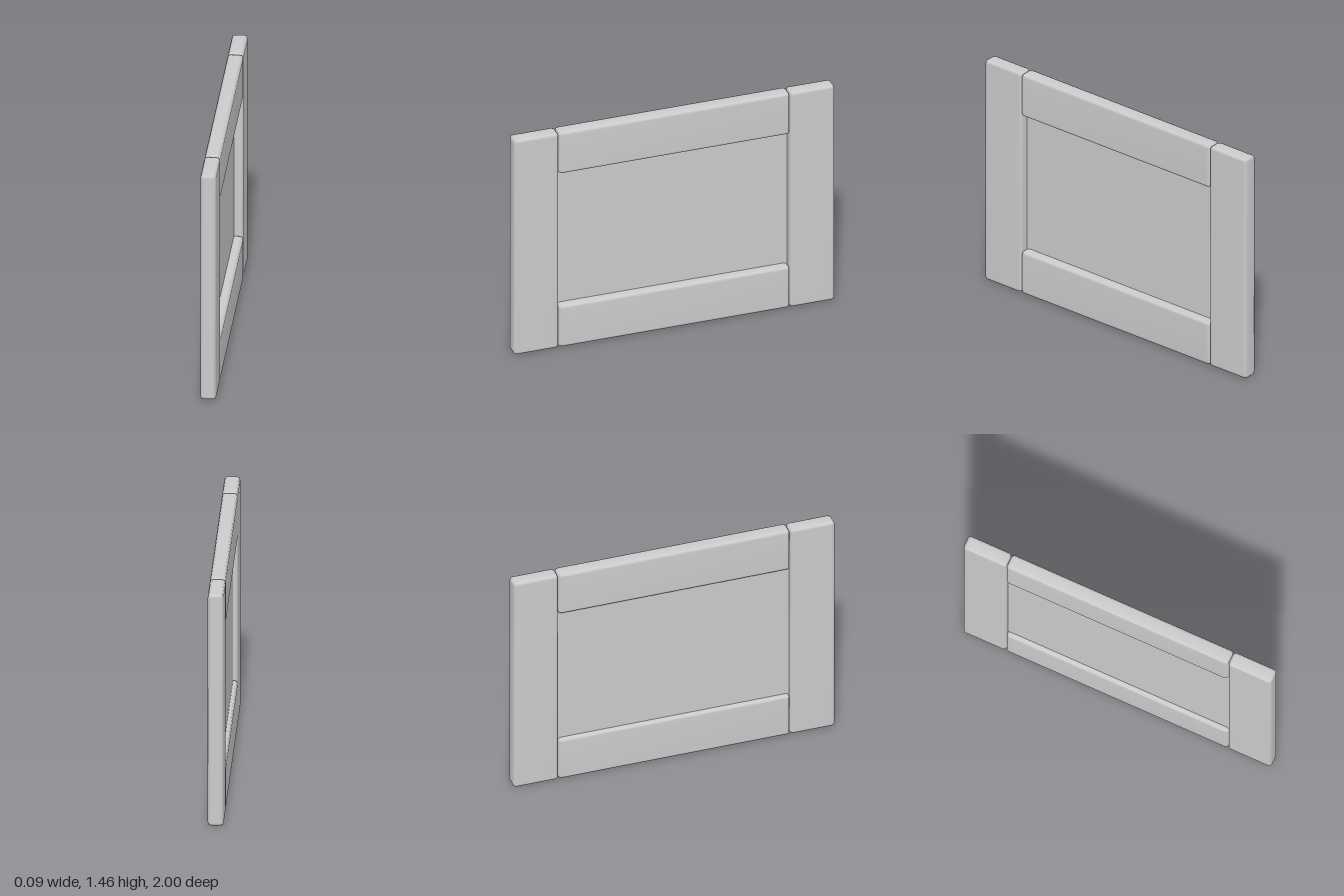
import * as THREE from 'three';
import { mergeVertices } from 'three/addons/utils/BufferGeometryUtils.js';
import { RoundedBoxGeometry } from 'three/addons/geometries/RoundedBoxGeometry.js';

const HEIGHT = 1.455, THICK = 0.094, BOARD = 0.28, HALF = 1, EDGE = 0.02;

export function createModel() {
  const group = new THREE.Group();
  const material = new THREE.MeshStandardMaterial({ color: 0xcccccc });

  // Board with eased edges; welded so its shading rolls softly over the faces
  function board(name, height, length, y, z) {
    let geo = new RoundedBoxGeometry(THICK, height, length, 1, EDGE);
    geo.deleteAttribute('normal');
    geo.deleteAttribute('uv');
    geo = mergeVertices(geo, 1e-4);
    geo.computeVertexNormals();
    const mesh = new THREE.Mesh(geo, material);
    mesh.name = name;
    mesh.position.set(0, y, z);
    group.add(mesh);
  }

  // Full-height stiles at both ends
  board('frontStile', HEIGHT, BOARD, HEIGHT / 2, HALF - BOARD / 2);
  board('backStile', HEIGHT, BOARD, HEIGHT / 2, -HALF + BOARD / 2);

  // Rails between the stiles
  const railLength = 2 * (HALF - BOARD);
  board('bottomRail', BOARD, railLength, BOARD / 2, 0);
  board('topRail', BOARD, railLength, HEIGHT - BOARD / 2, 0);

  // Thin inset panel, its edges held inside the frame, set off-centre
  const panel = new THREE.Mesh(
    new THREE.BoxGeometry(0.01, HEIGHT - 2 * BOARD + 0.04, railLength + 0.04), material);
  panel.name = 'panel';
  panel.position.set(-0.013, HEIGHT / 2, 0);
  group.add(panel);

  return group;
}
